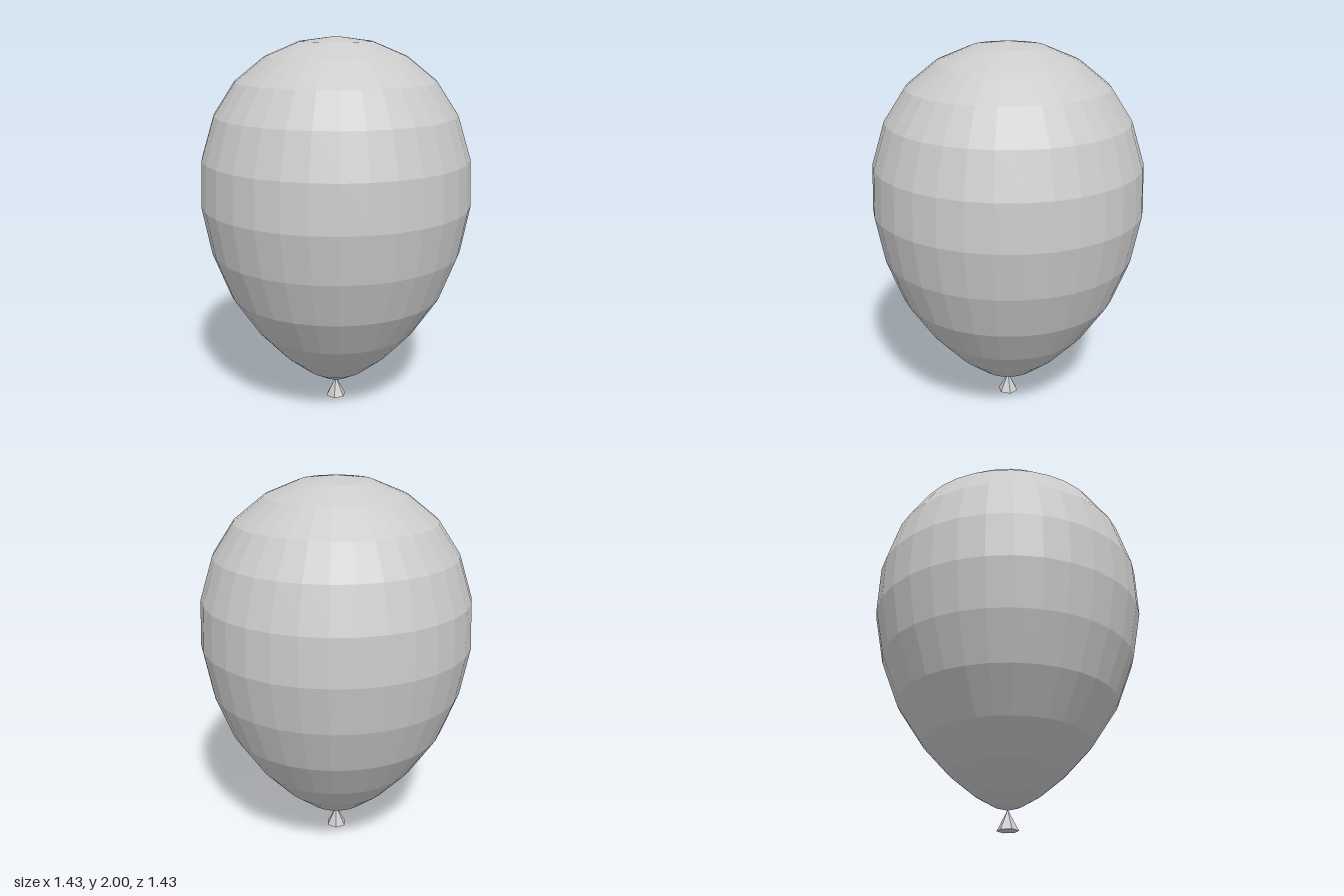
import * as THREE from 'three';

export function createModel() {
  const group = new THREE.Group();
  const material = new THREE.MeshStandardMaterial({ color: 0xcccccc, flatShading: true });

  // Teardrop envelope: [radius, height] from the neck up to the crown
  const profile = [
    [0, 0.1], [0.07, 0.122], [0.17, 0.18], [0.3, 0.287], [0.44, 0.44], [0.577, 0.647], [0.668, 0.885],
    [0.715, 1.137], [0.705, 1.38], [0.635, 1.605], [0.523, 1.775], [0.367, 1.9], [0.188, 1.975], [0, 2],
  ].map(([r, y]) => new THREE.Vector2(r, y));
  const envelope = new THREE.Mesh(new THREE.LatheGeometry(profile, 32), material);
  envelope.name = 'balloonEnvelope';
  group.add(envelope);

  // Six-sided knot under the neck
  const knot = new THREE.Mesh(new THREE.ConeGeometry(0.056, 0.105, 6), material);
  knot.name = 'knot';
  knot.position.y = 0.0525;
  group.add(knot);

  return group;
}
